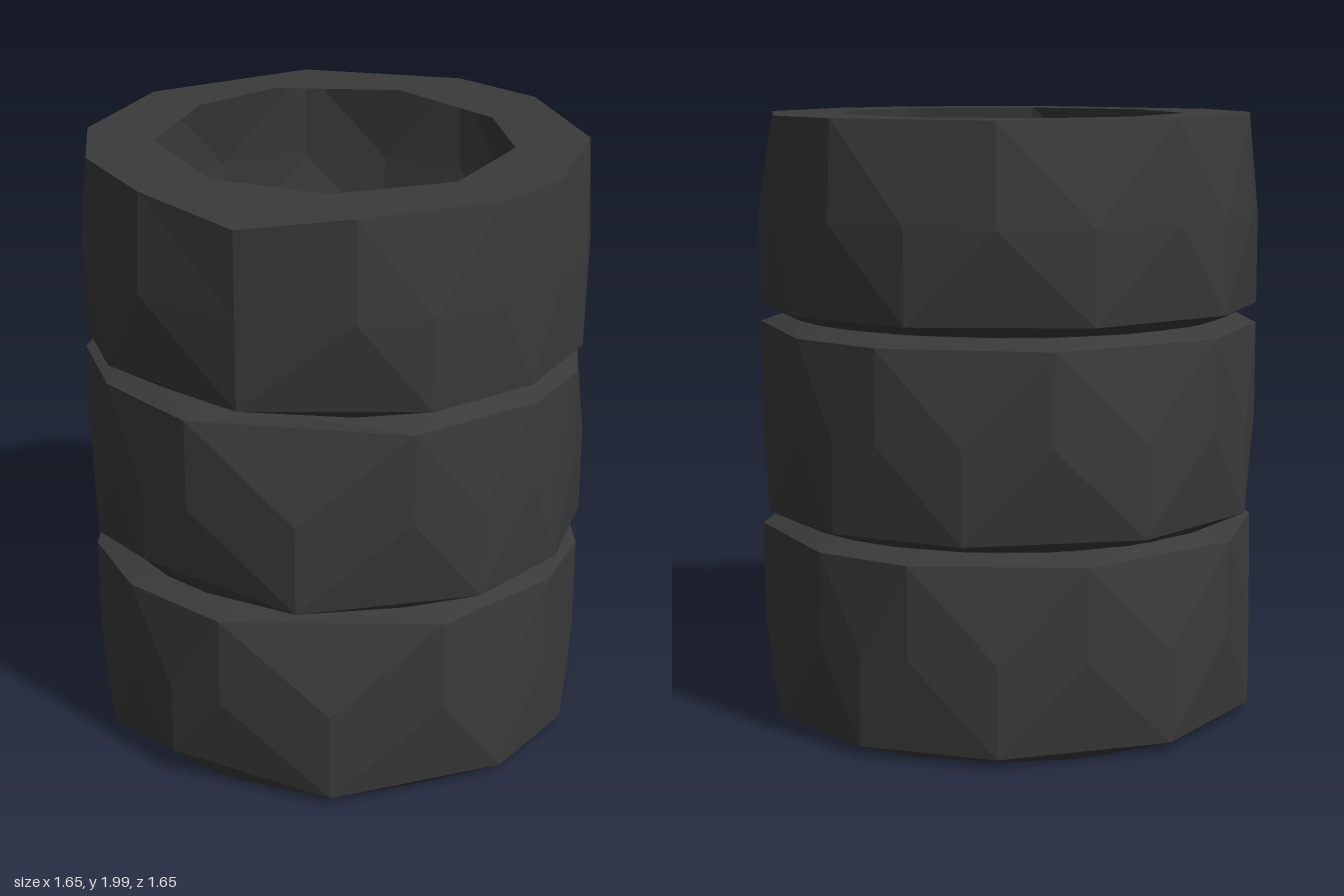
import * as THREE from 'three';

const rubber = new THREE.MeshStandardMaterial({ color: 0x3a3a3a, flatShading: true, side: THREE.DoubleSide });
const PITCH = 0.667;
const R = 0.825;

// Uneven corner angles of a tyre's upper edge, in degrees from the front towards +x
const topAngles = [24, 57, 77, 109, 144, 168, 207.5, 250, 283, 306, 333];
const N = topAngles.length;
const lowAngles = topAngles.map((a, i) => (a + (i + 1 < N ? topAngles[i + 1] : topAngles[0] + 360)) / 2);

const at = (deg, r, y) => {
  const a = THREE.MathUtils.degToRad(deg);
  return [r * Math.sin(a), y, r * Math.cos(a)];
};
const ring = (angles, r, y) => angles.map((a) => at(a, r, y));

function facetMesh(name, triangles) {
  const geometry = new THREE.BufferGeometry();
  geometry.setAttribute('position', new THREE.Float32BufferAttribute(triangles.flat(2), 3));
  geometry.computeVertexNormals();
  const mesh = new THREE.Mesh(geometry, rubber);
  mesh.name = name;
  return mesh;
}

// Sloping shoulder from a tread edge to a rounder rim with twice as many corners;
// the second set of rim corners follows the first
function shoulder(edge, rim, rimBetween) {
  const out = [];
  edge.forEach((e, i) => {
    const k = (i + 1) % N;
    out.push([e, rim[i], rimBetween[i]], [e, rimBetween[i], edge[k]], [edge[k], rimBetween[i], rim[k]]);
  });
  return out;
}

// Tread: upper and lower edges are staggered, meeting at a finer middle ring
function treadFacets(upper, lower, midUp, midLow) {
  const out = [];
  for (let i = 0; i < N; i++) {
    const k = (i + 1) % N;
    out.push([upper[i], midUp[i], midLow[i]], [upper[i], midLow[i], upper[k]], [upper[k], midLow[i], midUp[k]]);
    out.push([midUp[i], lower[i], midLow[i]], [midLow[i], lower[i], midUp[k]], [midUp[k], lower[i], lower[k]]);
  }
  return out;
}

function makeTyre(name, turn, isTop) {
  const tyre = new THREE.Group();
  tyre.name = name;
  const up = topAngles.map((a) => a + turn);
  const low = lowAngles.map((a) => a + turn);
  const next = up.map((a, i) => (i + 1 < N ? up[i + 1] : up[0] + 360));

  const upper = ring(up, isTop ? 0.81 : R, isTop ? 0.662 : 0.64);
  const lower = ring(low, R, 0.042);
  const midLow = ring(low, R, 0.34);
  // small dent at the front of the lower edge
  if (!isTop) lower[N - 2][1] = 0.1;

  tyre.add(facetMesh('tread', treadFacets(upper, lower, ring(up, R, 0.34), midLow)));
  tyre.add(facetMesh('lowerShoulder', shoulder(lower, ring(low, 0.735, 0.007), ring(next, 0.735, 0.007))));
  if (isTop) {
    // raised corner filling the front of the top edge
    const crest = at(low[N - 1], R, 0.615);
    const [a, b, m] = [upper[N - 1], upper[0], midLow[N - 1]];
    tyre.add(facetMesh('frontCrest', [[a, m, crest], [crest, m, b], [a, crest, b]]));
    tyre.add(makeSidewall());
  } else {
    tyre.add(facetMesh('upperShoulder', shoulder(upper, ring(up, 0.72, 0.67), ring(low, 0.72, 0.67))));
  }
  return tyre;
}

// Flat ring closing the topmost tyre, with an uneven nine-sided hole
function makeSidewall() {
  const outline = ring(topAngles, 0.81, 0).map(([x, , z]) => new THREE.Vector2(x, -z));
  const hole = [[0.02, -0.58], [0.41, -0.37], [0.57, -0.08], [0.5, 0.31], [0.18, 0.55],
    [-0.21, 0.54], [-0.53, 0.24], [-0.55, -0.18], [-0.39, -0.46]];
  const shape = new THREE.Shape(outline);
  shape.holes.push(new THREE.Path(hole.map(([x, z]) => new THREE.Vector2(x, -z))));
  const mesh = new THREE.Mesh(new THREE.ShapeGeometry(shape), rubber);
  mesh.rotation.x = -Math.PI / 2;
  mesh.position.y = 0.662;
  mesh.name = 'topSidewall';
  return mesh;
}

export function createModel() {
  const model = new THREE.Group();
  model.name = 'tyreStack';
  // each tyre is turned a little differently in the stack
  [['bottomTyre', 20], ['middleTyre', 12.5], ['topTyre', 0]].forEach(([name, turn], i) => {
    const tyre = makeTyre(name, turn, i === 2);
    tyre.position.y = i * PITCH;
    model.add(tyre);
  });
  return model;
}
